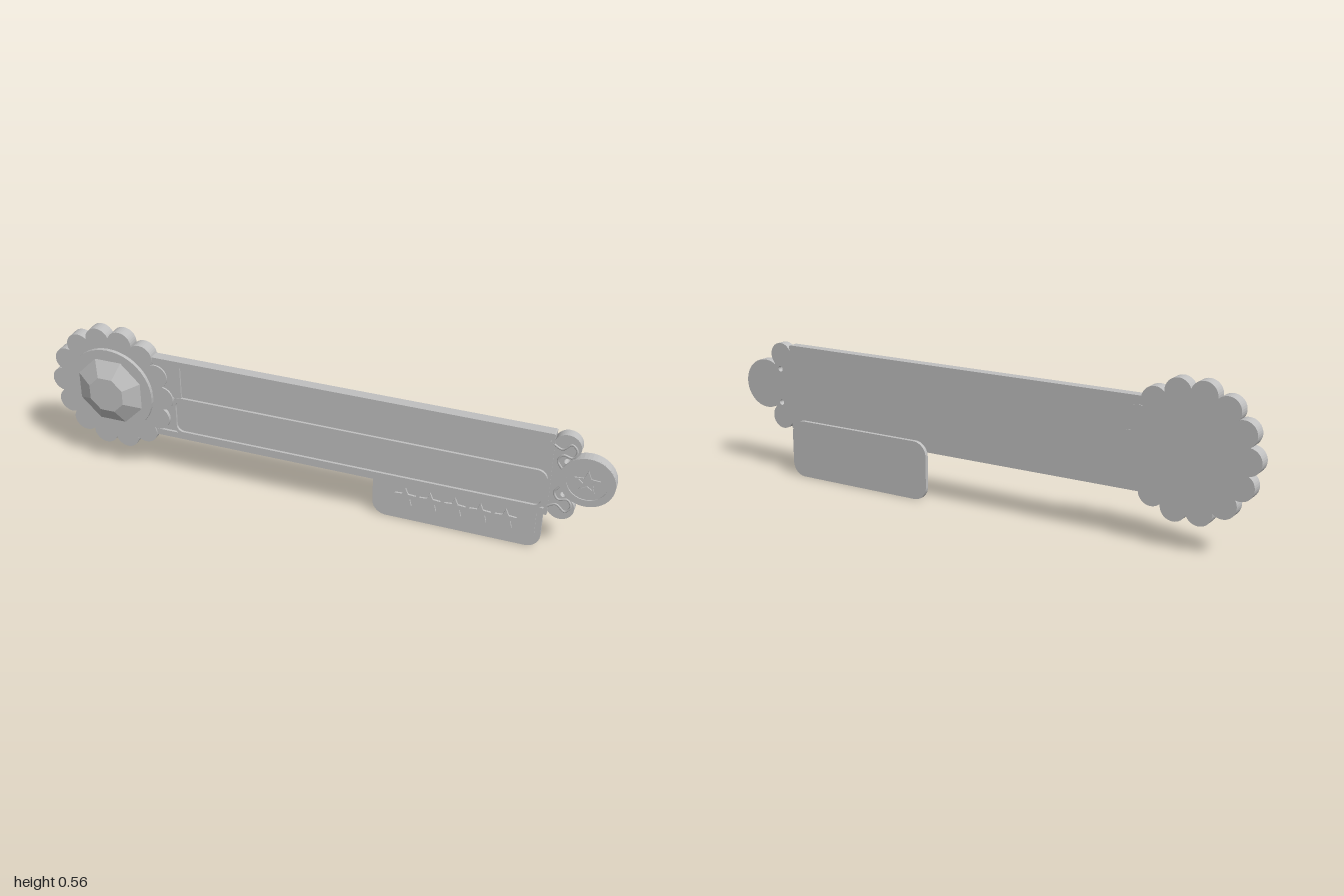
import * as THREE from 'three';

const silver = new THREE.MeshStandardMaterial({ color: 0xc0c0c0 });
silver.name = 'silver';
const MID = 0.325; // height of the long axis

// Rounded rectangle outline
function roundRect(x0, y0, x1, y1, r, Type = THREE.Shape) {
  const s = new Type();
  s.absarc(x1 - r, y0 + r, r, -Math.PI / 2, 0);
  s.absarc(x1 - r, y1 - r, r, 0, Math.PI / 2);
  s.absarc(x0 + r, y1 - r, r, Math.PI / 2, Math.PI);
  s.absarc(x0 + r, y0 + r, r, Math.PI, Math.PI * 1.5);
  s.closePath();
  return s;
}

function circle(x, y, r, Type = THREE.Shape) {
  const s = new Type();
  s.absarc(x, y, r, 0, Math.PI * 2);
  return s;
}

function star(x, y, r, Type = THREE.Shape) {
  const pts = [];
  for (let i = 0; i < 10; i++) {
    const a = Math.PI / 2 + (i * Math.PI) / 5, q = i % 2 ? r * 0.45 : r;
    pts.push(new THREE.Vector2(x + q * Math.cos(a), y + q * Math.sin(a)));
  }
  return new Type(pts);
}

export function createModel() {
  const group = new THREE.Group();
  const add = (name, geometry) => {
    const m = new THREE.Mesh(geometry, silver);
    m.name = name;
    group.add(m);
    return m;
  };
  // Flat part between two depths, with optional holes
  const slab = (name, shape, z0, z1, holes = [], curveSegments = 10) => {
    shape.holes.push(...holes);
    const g = new THREE.ExtrudeGeometry(shape, { depth: z1 - z0, bevelEnabled: false, curveSegments });
    return add(name, g.translate(0, 0, z0));
  };

  // Long bar with a raised border and an inner name panel
  slab('bar', roundRect(-0.7, 0.171, 0.795, 0.481, 0.004), -0.033, -0.005);
  slab('barBorder', roundRect(-0.7, 0.171, 0.795, 0.481, 0.004), -0.005, 0.004,
    [roundRect(-0.6, 0.194, 0.785, 0.458, 0.004, THREE.Path)]);
  slab('lowerPanelRim', roundRect(-0.535, 0.188, 0.785, 0.337, 0.035), -0.005, 0.004,
    [roundRect(-0.523, 0.2, 0.773, 0.325, 0.025, THREE.Path)]);
  slab('upperPanelEnd', roundRect(-0.62, 0.337, -0.5, 0.46, 0.003), -0.005, 0.002);

  // Scalloped flower medallion
  const fx = -0.765, flower = new THREE.Shape();
  const petals = 14, half = THREE.MathUtils.degToRad(82.8);
  for (let i = 0; i < petals; i++) {
    const a = (i * 2 * Math.PI) / petals;
    flower.absarc(fx + 0.19 * Math.cos(a), MID + 0.19 * Math.sin(a), 0.045, a - half, a + half);
  }
  flower.closePath();
  slab('flower', flower, -0.037, 0.008, [], 8);
  slab('gemSetting', circle(fx, MID, 0.16), 0.008, 0.022, [], 24);

  // Faceted gem
  const c = Math.cos(Math.PI / 8);
  const gem = new THREE.CylinderGeometry(0.063 / c, 0.122 / c, 0.035, 8).toNonIndexed();
  gem.rotateY(Math.PI / 8).rotateX(Math.PI / 2).translate(fx, MID, 0.0375);
  gem.computeVertexNormals();
  add('gem', gem);

  // Scrolled end with two lobes and a round tip
  const rad = THREE.MathUtils.degToRad, end = new THREE.Shape();
  end.moveTo(0.78, 0.2);
  end.absarc(0.835, 0.21, 0.045, rad(200), rad(400));
  end.absarc(0.91, MID, 0.09, rad(-120), rad(120));
  end.absarc(0.835, 0.44, 0.045, rad(-40), rad(160));
  end.lineTo(0.78, 0.45);
  end.closePath();
  slab('endOrnament', end, -0.033, 0.001,
    [0.262, 0.388].map((y) => circle(0.84, y, 0.01, THREE.Path)), 14);
  slab('tipRim', circle(0.91, MID, 0.09), 0.001, 0.005, [circle(0.91, MID, 0.066, THREE.Path)], 20);
  slab('tipStar', star(0.91, MID, 0.044), 0.001, 0.005, [star(0.91, MID, 0.03, THREE.Path)]);
  for (const s of [-1, 1]) {
    const path = new THREE.CatmullRomCurve3(
      [[0.79, 0.12], [0.82, 0.105], [0.85, 0.128], [0.868, 0.105], [0.855, 0.08], [0.825, 0.085],
        [0.81, 0.06], [0.825, 0.035]].map(([x, y]) => new THREE.Vector3(x, MID + s * y, 0.001)));
    add('scroll', new THREE.TubeGeometry(path, 28, 0.004, 6));
  }

  // Hanging rating plate with five stars
  slab('plate', roundRect(0.19, 0, 0.776, 0.21, 0.05), -0.054, -0.04);
  slab('platePanel', roundRect(0.21, 0.02, 0.756, 0.19, 0.035), -0.04, -0.035);
  slab('plateMount', roundRect(0.25, 0.172, 0.71, 0.187, 0.004), -0.036, -0.032);
  for (let i = 0; i < 5; i++) slab('plateStar', star(0.309 + i * 0.087, 0.098, 0.039), -0.035, -0.028);

  return group;
}
